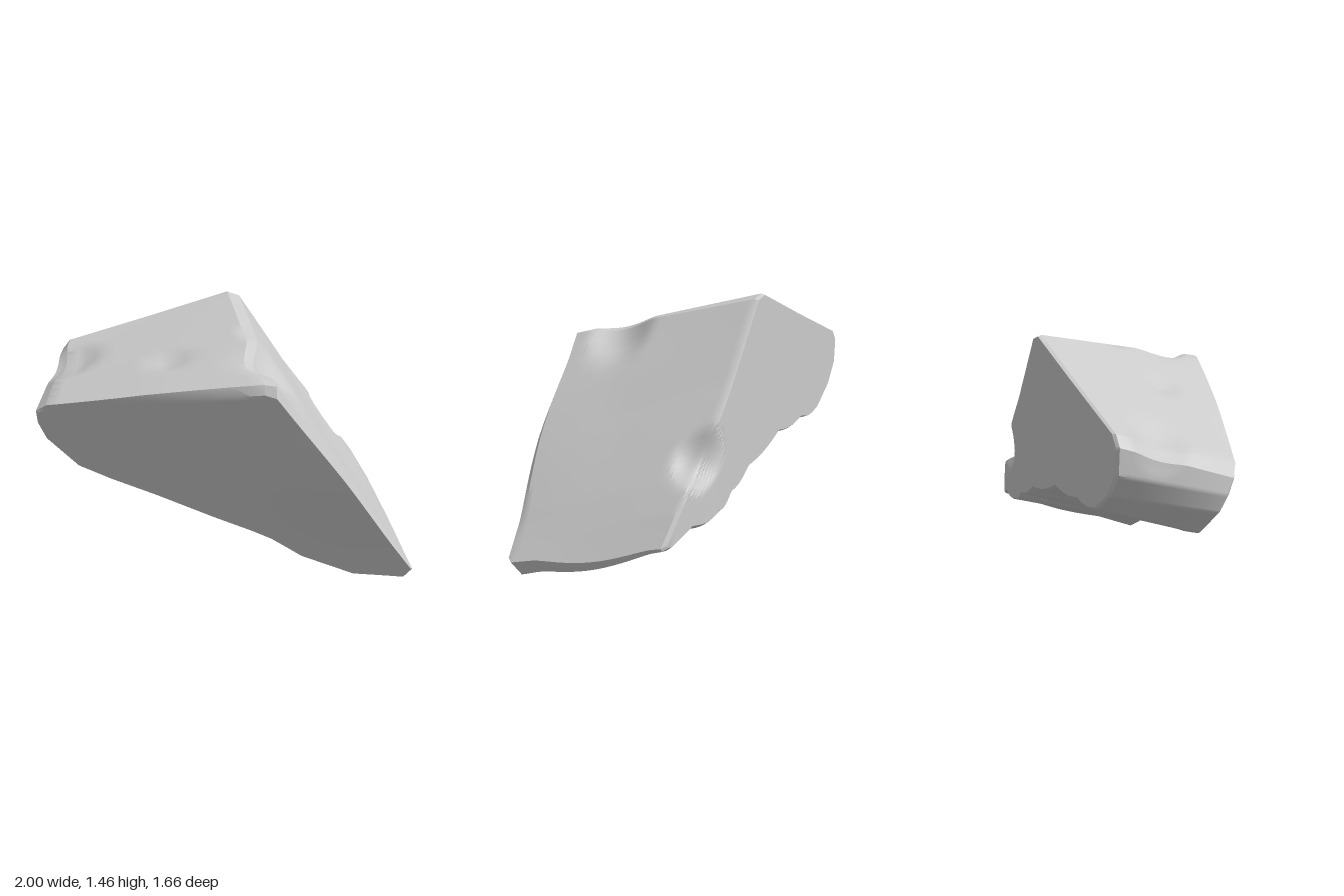
import * as THREE from 'three';
import { toCreasedNormals } from 'three/addons/utils/BufferGeometryUtils.js';

// Matching outline points: front x, front y, back x, back y, bevel width
const OUTLINE = [
  [-0.99, 0.92, -0.69, 1.13, 0.01],
  [-0.93, 0.96, -0.65, 1.185, 0.03],
  [-0.5, 1.07, -0.2, 1.335, 0.045],
  [-0.05, 1.175, 0.22, 1.48, 0.05],
  [0.0, 1.16, 0.285, 1.455, 0.06],
  [0.35, 0.69, 0.53, 1.06, 0.04],
  [0.5, 0.48, 0.68, 0.85, 0.04],
  [0.6, 0.34, 0.83, 0.62, 0.04],
  [0.68, 0.23, 0.92, 0.47, 0.03],
  [0.76, 0.12, 1.005, 0.3, 0.03],
  [0.74, 0.05, 1.0, 0.285, 0.03],
  [0.54, 0.02, 0.98, 0.285, 0.01],
  [0.3, 0.1, 0.86, 0.36, 0],
  [0.15, 0.2, 0.66, 0.385, 0],
  [0.06, 0.24, 0.55, 0.46, 0],
  [-0.13, 0.31, 0.37, 0.56, -0.03],
  [-0.4, 0.42, 0.03, 0.69, -0.03],
  [-0.62, 0.5, -0.25, 0.72, -0.01],
  [-0.78, 0.57, -0.46, 0.74, 0],
  [-0.94, 0.74, -0.6, 0.86, 0],
  [-0.985, 0.84, -0.68, 0.99, 0],
];

// Chipped dents and slight bulges: centre, radius, push
const DENTS = [
  [[0.1, 1.24, 0.36], 0.22, [-0.07, -0.04, 0]],
  [[0.79, 0.71, -0.19], 0.19, [-0.06, -0.04, 0.03]],
  [[-0.71, 1.1, -0.58], 0.19, [0.03, -0.04, 0]],
  [[-0.3, 1.19, -0.05], 0.13, [0.01, -0.03, 0]],
  [[0.37, 0.68, 0.74], 0.5, [0, 0, 0.03]],
  [[0.89, 0.19, 0.35], 0.35, [0.02, -0.03, 0]],
].map(([c, r, p]) => ({ c: new THREE.Vector3(...c), r, push: new THREE.Vector3(...p) }));

// The two sloping end faces, the back one curving near its lower corner
const frontZ = (x, y) => 0.877 * (x + 1) + 0.47 * (y - 0.93) - 0.33;
const backZ = (x) => -0.44 + 0.424 * (x - 0.25) + Math.max(0, x - 0.6) ** 2 * 0.5;

const SUB = 8, SIDE = 32, CAP = 20;

function dent(p) {
  const moved = p.clone();
  for (const { c, r, push } of DENTS) {
    const d = p.distanceTo(c) / r;
    if (d < 1) moved.addScaledVector(push, (1 - d * d) ** 1.5);
  }
  return moved;
}

function buildRings() {
  const face = [], edge = [], back = [];
  OUTLINE.forEach((a, i) => {
    const b = OUTLINE[(i + 1) % OUTLINE.length];
    for (let k = 0; k < SUB; k++) {
      const t = k / SUB;
      const [fx, fy, bx, by, w] = a.map((v, n) => v + (b[n] - v) * t);
      // scalloped underside
      const bulge = i >= 12 && i <= 17 ? 0.02 * Math.sin(Math.PI * t) : 0;
      const out = new THREE.Vector2(fx + 0.05, fy - 0.6).normalize().multiplyScalar(w);
      const z = frontZ(fx, fy);
      face.push(new THREE.Vector3(fx, fy, z));
      edge.push(new THREE.Vector3(fx + out.x, fy + out.y, z - 0.02));
      back.push(new THREE.Vector3(bx, by - bulge, backZ(bx)));
    }
  });
  return { face, edge, back };
}

function rockGeometry() {
  const { face, edge, back } = buildRings();
  const n = face.length;
  const blend = (a, b, t) => a.map((p, i) => p.clone().lerp(b[i], t));
  const frontPole = face.map(() => new THREE.Vector3(-0.05, 0.65, frontZ(-0.05, 0.65)));
  const backPole = back.map(() => new THREE.Vector3(0.15, 0.9, backZ(0.15)));

  // front cap, bevel, sides, narrow back bevel, back cap
  const rings = [];
  for (let j = 0; j <= CAP; j++) rings.push(blend(frontPole, face, j / CAP));
  for (let j = 0; j <= SIDE; j++) rings.push(blend(edge, back, 0.98 * j / SIDE));
  for (let j = 0; j <= CAP; j++) {
    const ring = blend(back, backPole, 0.02 + 0.98 * j / CAP);
    ring.forEach((p) => { p.z = backZ(p.x); });
    rings.push(ring);
  }

  const positions = rings.flat().flatMap((p) => dent(p).toArray());
  const index = [];
  for (let j = 0; j < rings.length - 1; j++) {
    for (let i = 0; i < n; i++) {
      const i2 = (i + 1) % n;
      const a = j * n + i, b = j * n + i2, d = a + n, e = b + n;
      if (j > 0) index.push(a, b, d);
      if (j < rings.length - 2) index.push(b, e, d);
    }
  }
  const geometry = new THREE.BufferGeometry();
  geometry.setAttribute('position', new THREE.Float32BufferAttribute(positions, 3));
  geometry.setIndex(index);
  return toCreasedNormals(geometry, 0.5);
}

export function createModel() {
  const group = new THREE.Group();
  group.name = 'brokenRock';
  const rock = new THREE.Mesh(rockGeometry(), new THREE.MeshStandardMaterial({ color: 0xcccccc }));
  rock.name = 'rock';
  group.add(rock);
  // rest on the ground
  const box = new THREE.Box3().setFromObject(rock);
  rock.position.y = -box.min.y;
  return group;
}
